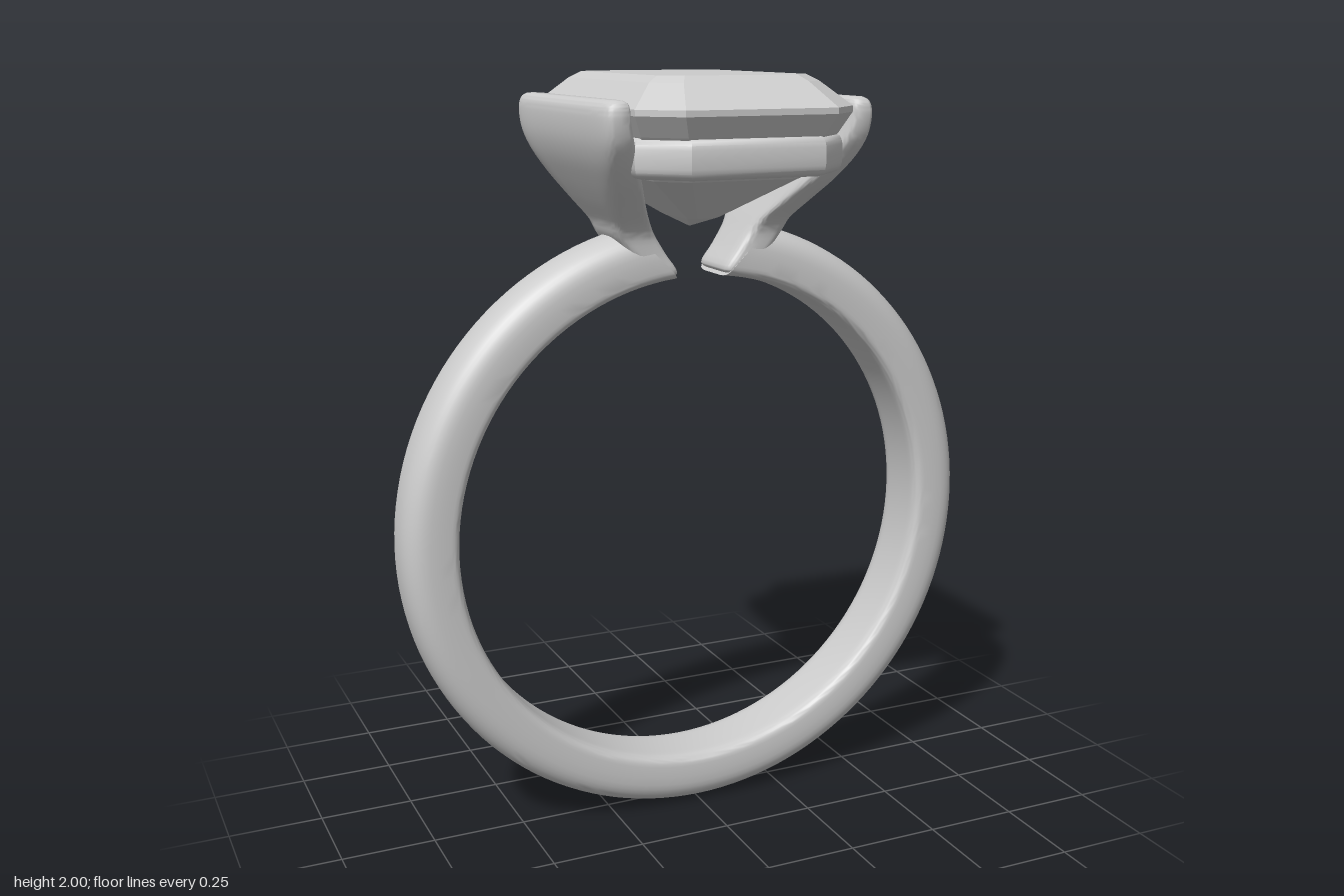
import * as THREE from 'three';
import { toCreasedNormals } from 'three/addons/utils/BufferGeometryUtils.js';

const metal = new THREE.MeshStandardMaterial({ color: 0xcccccc });
metal.name = 'silver grey';

// Skins a list of equal-length [x, y, z] loops; ends are capped unless the loft is closed.
function loft(sections, crease, closed = false) {
  const n = sections[0].length, m = sections.length;
  const points = sections.flat(), index = [];
  for (let i = 0; i < (closed ? m : m - 1); i++) {
    for (let j = 0; j < n; j++) {
      const k = (j + 1) % n, a = i * n, b = ((i + 1) % m) * n;
      index.push(a + j, a + k, b + k, a + j, b + k, b + j);
    }
  }
  if (!closed) {
    for (const [row, flip] of [[0, true], [m - 1, false]]) {
      const centre = [0, 1, 2].map(c => sections[row].reduce((s, p) => s + p[c], 0) / n);
      const id = points.push(centre) - 1;
      for (let j = 0; j < n; j++) {
        const a = row * n + j, b = row * n + (j + 1) % n;
        index.push(id, flip ? b : a, flip ? a : b);
      }
    }
  }
  // Turn the faces outward if the enclosed volume is negative
  let volume = 0;
  const v = points.map(p => new THREE.Vector3(...p));
  for (let i = 0; i < index.length; i += 3) {
    volume += v[index[i]].dot(v[index[i + 1]].clone().cross(v[index[i + 2]]));
  }
  if (volume < 0) index.reverse();
  const geo = new THREE.BufferGeometry().setFromPoints(v);
  geo.setIndex(index);
  return toCreasedNormals(geo, crease);
}

const power = (v, e) => Math.sign(v) * Math.abs(v) ** e;

// Rectangle with cut corners, seen from above
function octagon(x, z, cut, y) {
  const a = x - cut, b = z - cut;
  return [[a, z], [x, b], [x, -b], [a, -z], [-a, -z], [-x, -b], [-x, b], [-a, z]]
    .map(([px, pz]) => [px, y, pz]);
}

// Ring band: rounded outside, flatter inside, open at the top with slanted ends
function bandGeometry() {
  const sections = [];
  for (let i = 0; i <= 128; i++) {
    const loop = [];
    for (let j = 0; j < 40; j++) {
      const t = j / 40 * Math.PI * 2, c = Math.cos(t), s = Math.sin(t);
      const e = c > 0 ? 0.75 : 0.35;
      const r = 0.73 + (c > 0 ? 0.085 : 0.06) * power(c, e);
      const start = THREE.MathUtils.lerp(0.10, 0.25, (r - 0.67) / 0.145);
      const a = THREE.MathUtils.lerp(start, Math.PI * 2 - start, i / 128);
      loop.push([r * Math.sin(a), 0.815 + r * Math.cos(a), 0.093 * power(s, e)]);
    }
    sections.push(loop);
  }
  return loft(sections, 0.9);
}

// Flared side holder: height, inner x, outer x, half width in z
function holderGeometry(side) {
  const rows = [
    [1.487, 0.078, 0.10, 0.08], [1.50, 0.066, 0.14, 0.09], [1.55, 0.098, 0.20, 0.092],
    [1.60, 0.13, 0.237, 0.097], [1.63, 0.148, 0.248, 0.115], [1.68, 0.18, 0.28, 0.17],
    [1.74, 0.217, 0.315, 0.242], [1.80, 0.25, 0.345, 0.295], [1.85, 0.27, 0.36, 0.324],
    [1.90, 0.283, 0.364, 0.334], [1.925, 0.285, 0.361, 0.332], [1.938, 0.289, 0.354, 0.325],
    [1.945, 0.30, 0.342, 0.31],
  ];
  const curve = k => new THREE.CatmullRomCurve3(
    rows.map(r => new THREE.Vector3(r[0], r[k], 0)), false, 'centripetal');
  const curves = [1, 2, 3].map(curve);
  const sections = [];
  for (let i = 0; i <= 48; i++) {
    const [inner, outer, half] = curves.map(c => c.getPoint(i / 48));
    const loop = [];
    for (let j = 0; j < 48; j++) {
      const t = j / 48 * Math.PI * 2;
      const x = (inner.y + outer.y) / 2 + (outer.y - inner.y) / 2 * power(Math.cos(t), 0.45);
      loop.push([side * x, inner.x, half.y * power(Math.sin(t), 0.3)]);
    }
    sections.push(loop);
  }
  return loft(sections, 1.0);
}

// Rounded rail following the cut-corner outline under the stone
function railGeometry() {
  const sections = [];
  for (let j = 0; j < 24; j++) {
    const t = j / 24 * Math.PI * 2;
    const out = 0.038 * power(Math.cos(t), 0.6);
    sections.push(octagon(0.242 + out, 0.37 + out, 0.083 + out * 0.5,
      1.81 + 0.05 * power(Math.sin(t), 0.6)));
  }
  return loft(sections, 0.7, true);
}

// Step-cut stone: half x, half z, corner cut, height from table to tip
function stoneGeometry() {
  const steps = [
    [0.20, 0.305, 0.05, 2.0], [0.228, 0.335, 0.062, 1.984], [0.29, 0.424, 0.09, 1.925],
    [0.29, 0.424, 0.09, 1.91], [0.265, 0.395, 0.085, 1.86], [0.205, 0.315, 0.07, 1.75],
    [0.045, 0.105, 0.02, 1.638], [0.002, 0.004, 0.001, 1.61],
  ];
  return loft(steps.map(s => octagon(...s)), 0.02);
}

export function createModel() {
  const ring = new THREE.Group();
  ring.name = 'ring';
  const add = (name, geometry) => {
    const mesh = new THREE.Mesh(geometry, metal);
    mesh.name = name;
    ring.add(mesh);
  };
  add('band', bandGeometry());
  add('leftHolder', holderGeometry(1));
  add('rightHolder', holderGeometry(-1));
  add('stoneRail', railGeometry());
  add('stone', stoneGeometry());
  return ring;
}
